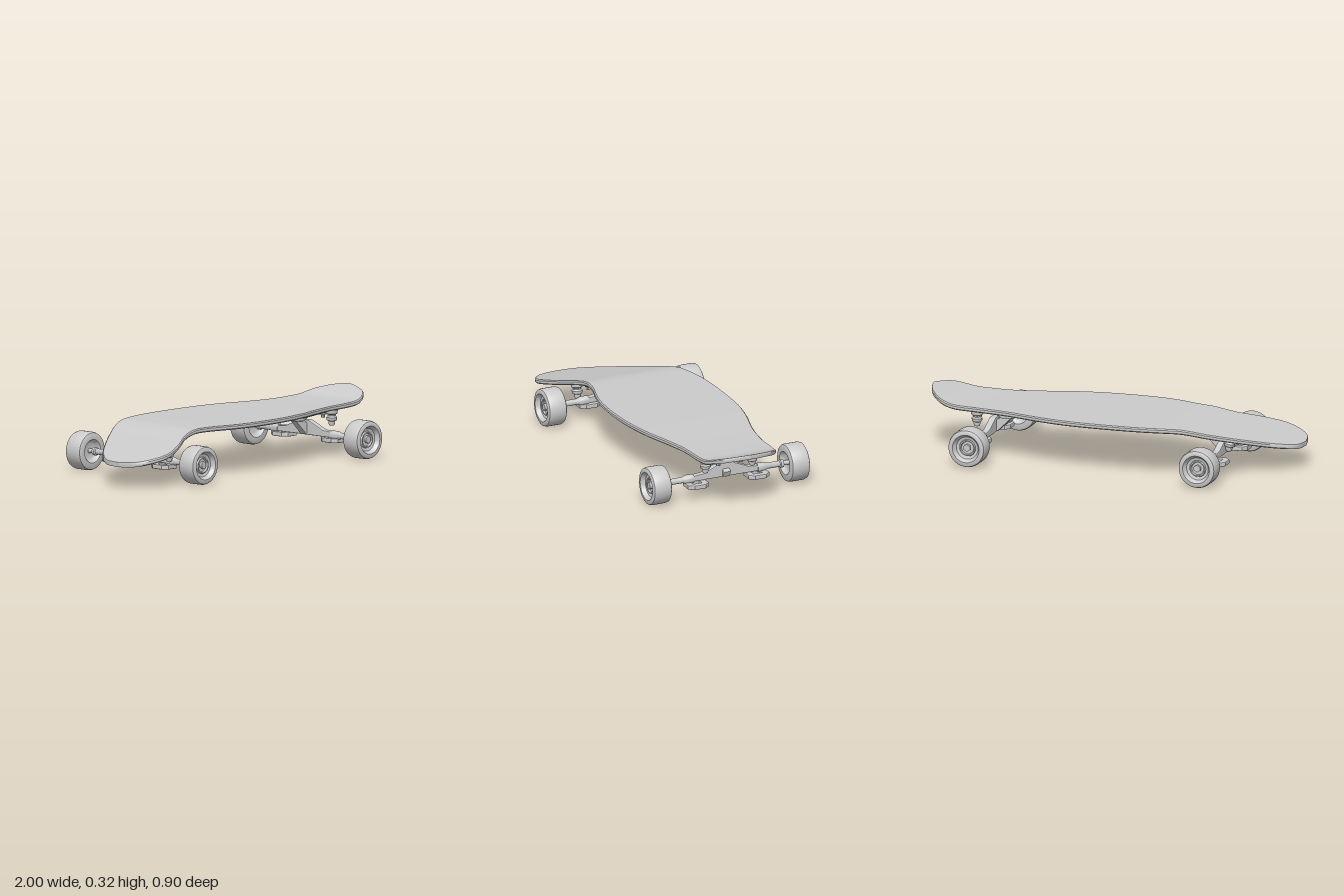
import * as THREE from 'three';
import { toCreasedNormals } from 'three/addons/utils/BufferGeometryUtils.js';

const grey = new THREE.MeshStandardMaterial({ color: 0xcccccc });

function add(parent, name, geometry, x = 0, y = 0, z = 0) {
  const mesh = new THREE.Mesh(geometry, grey);
  mesh.name = name;
  mesh.position.set(x, y, z);
  parent.add(mesh);
  return mesh;
}

// Turns a few [x, value] points into a smooth function of x
function curveOf(points) {
  const pts = new THREE.CatmullRomCurve3(points.map(([a, b]) => new THREE.Vector3(a, b, 0))).getPoints(600);
  return x => {
    let i = 1;
    while (i < pts.length - 1 && pts[i].x < x) i++;
    const a = pts[i - 1], b = pts[i];
    const t = THREE.MathUtils.clamp((x - a.x) / (b.x - a.x || 1), 0, 1);
    return a.y + (b.y - a.y) * t;
  };
}

const lathe = (pts, n = 24) =>
  toCreasedNormals(new THREE.LatheGeometry(pts.map(p => new THREE.Vector2(...p)), n), 0.6);

function extrude(points, depth, bevel, hole) {
  const shape = new THREE.Shape(points.map(p => new THREE.Vector2(...p)));
  if (hole) shape.holes.push(new THREE.Path(hole.map(p => new THREE.Vector2(...p))));
  return new THREE.ExtrudeGeometry(shape, {
    depth, bevelEnabled: bevel > 0, bevelSize: bevel, bevelThickness: bevel, bevelSegments: 2,
  }).translate(0, 0, -depth / 2);
}

// Deck: cross-sections along x between two asymmetric edges, bent up and down at the ends
function deckGeometry() {
  const backEdge = curveOf([[-1, .19], [-.985, .085], [-.905, -.013], [-.8, -.095], [-.665, -.185], [-.53, -.26],
    [-.4, -.3], [-.24, -.325], [-.02, -.33], [.165, -.32], [.325, -.29], [.485, -.245], [.59, -.225], [.7, -.213],
    [.8, -.21], [.895, -.185], [.96, -.12], [.99, -.05], [1, .01]]);
  const frontEdge = curveOf([[-1, .19], [-.97, .29], [-.905, .35], [-.825, .375], [-.745, .355], [-.665, .32],
    [-.585, .275], [-.505, .255], [-.44, .257], [-.37, .27], [-.29, .295], [-.185, .318], [-.02, .328], [.165, .318],
    [.325, .29], [.485, .245], [.62, .215], [.78, .207], [.87, .195], [.94, .15], [.98, .07], [1, .01]]);
  const height = curveOf([[-1, .134], [-.8, .182], [-.6, .23], [-.53, .248], [-.47, .259], [-.4, .262], [.2, .262],
    [.74, .262], [.84, .269], [.92, .293], [1, .322]]);
  const N = 100, M = 8, thick = 0.025, pos = [], index = [];
  for (let i = 0; i <= N; i++) {
    const x = -Math.cos(Math.PI * i / N);
    const z0 = backEdge(x), z1 = frontEdge(x), y = height(x);
    const c = Math.min(.006, Math.max(0, (z1 - z0) / 2));
    const across = k => z0 + c + (z1 - z0 - 2 * c) * k / M;
    for (let k = 0; k <= M; k++) pos.push(x, y, across(k));
    pos.push(x, y - .006, z1, x, y - thick + .006, z1);
    for (let k = M; k >= 0; k--) pos.push(x, y - thick, across(k));
    pos.push(x, y - thick + .006, z0, x, y - .006, z0);
  }
  const R = 2 * M + 6;
  for (let i = 0; i < N; i++) for (let j = 0; j < R; j++) {
    const a = i * R + j, c = i * R + (j + 1) % R;
    index.push(a, c, a + R, c, c + R, a + R);
  }
  const g = new THREE.BufferGeometry();
  g.setAttribute('position', new THREE.Float32BufferAttribute(pos, 3));
  g.setIndex(index);
  return toCreasedNormals(g, 0.6);
}

// Truck with its kingpin side towards +x; tilt and shift fit the base to the deck above
function truck(name, baseY, tilt, shift) {
  const group = new THREE.Group();
  group.name = name;

  // Axle and wheels
  add(group, 'axle', new THREE.CylinderGeometry(.012, .012, .85, 12).rotateX(Math.PI / 2), 0, .103, 0);
  const wheel = lathe([[.012, -.03], [.04, -.03], [.05, -.035], [.062, -.053], [.088, -.053], [.097, -.048],
    [.101, -.036], [.101, .036], [.097, .048], [.088, .053], [.074, .053], [.06, .03], [.045, .026], [.042, .034],
    [.036, .034], [.033, .024], [.012, .024]], 40);
  const sleeve = lathe([[0, -.1], [.024, -.1], [.024, -.06], [.016, -.04], [.016, .03], [.022, .035], [.022, .05], [0, .05]], 14);
  for (const s of [-1, 1]) {
    add(group, 'wheel', wheel, 0, .101, s * .399).rotation.x = s * Math.PI / 2;
    add(group, 'axleSleeve', sleeve, 0, .103, s * .285).rotation.x = s * Math.PI / 2;
    add(group, 'axleNut', new THREE.CylinderGeometry(.02, .02, .02, 6).rotateX(Math.PI / 2), 0, .103, s * .428);

    // Looped hanger seats under the kingpins
    const loop = extrude([[-.03, -.055], [.03, -.055], [.05, -.03], [.05, .03], [.03, .055], [-.03, .055], [-.05, .03],
      [-.05, -.03]], .014, .005, [[-.018, -.03], [.025, -.03], [.025, .03], [-.018, .03]]);
    add(group, 'hangerLoop', loop.rotateX(Math.PI / 2), .02, .077, s * .175);
  }

  // Hanger: a low triangular web along the axle
  const hanger = extrude([[-.23, .095], [.23, .095], [.23, .112], [.13, .12], [.03, .163], [-.03, .163], [-.13, .12], [-.23, .112]],
    .026, .005);
  add(group, 'hanger', hanger.rotateY(Math.PI / 2));
  add(group, 'pivotArm', extrude([[-.1, .175], [-.075, .185], [.03, .12], [.02, .098], [-.02, .098]], .03, .006));

  // Base: plate, wedge, kingpins and bolts
  const base = new THREE.Group();
  base.name = 'truckBase';
  base.position.set(0, baseY, shift);
  base.rotation.z = tilt;
  group.add(base);
  const plate = extrude([[-.2, -.06], [.06, -.16], [.095, -.15], [.095, .15], [.06, .16], [-.2, .06]], .008, .002,
    [[-.13, -.02], [-.13, .02], [-.07, .045], [-.07, -.045]]);
  add(base, 'basePlate', plate.rotateX(Math.PI / 2), 0, -.006, 0);
  add(base, 'baseWedge', extrude([[-.2, -.005], [-.2, -.015], [-.11, -.062], [-.05, -.066], [.03, -.025], [.06, -.005]], .05, .006));
  const kingpin = lathe([[0, -.092], [.014, -.092], [.018, -.08], [.018, -.07], [.026, -.066], [.029, -.05], [.022, -.042],
    [.022, -.036], [.03, -.03], [.032, -.012], [.026, -.004], [0, -.004]], 16);
  const bolt = lathe([[0, -.06], [.011, -.06], [.011, -.045], [.018, -.043], [.018, -.022], [.022, -.018], [.022, -.004], [0, -.004]], 10);
  for (const s of [-1, 1]) {
    add(base, 'kingpin', kingpin, .05, 0, s * .135);
    add(base, 'plateBolt', bolt, .06, 0, s * .065);
    // Angled strut from wedge to plate corner
    const strut = new THREE.TubeGeometry(new THREE.LineCurve3(
      new THREE.Vector3(-.06, -.05, s * .02), new THREE.Vector3(.05, -.012, s * .12)), 1, .01, 8);
    add(base, 'baseStrut', strut);
  }
  return group;
}

export function createModel() {
  const model = new THREE.Group();
  model.name = 'skateboard';
  add(model, 'deck', deckGeometry());

  const rightEnd = truck('tailTruck', .237, 0, 0);
  rightEnd.position.x = .66;
  const leftEnd = truck('noseTruck', .206, -.15, -.09);
  leftEnd.position.x = -.615;
  leftEnd.rotation.y = Math.PI;
  model.add(rightEnd, leftEnd);
  return model;
}
